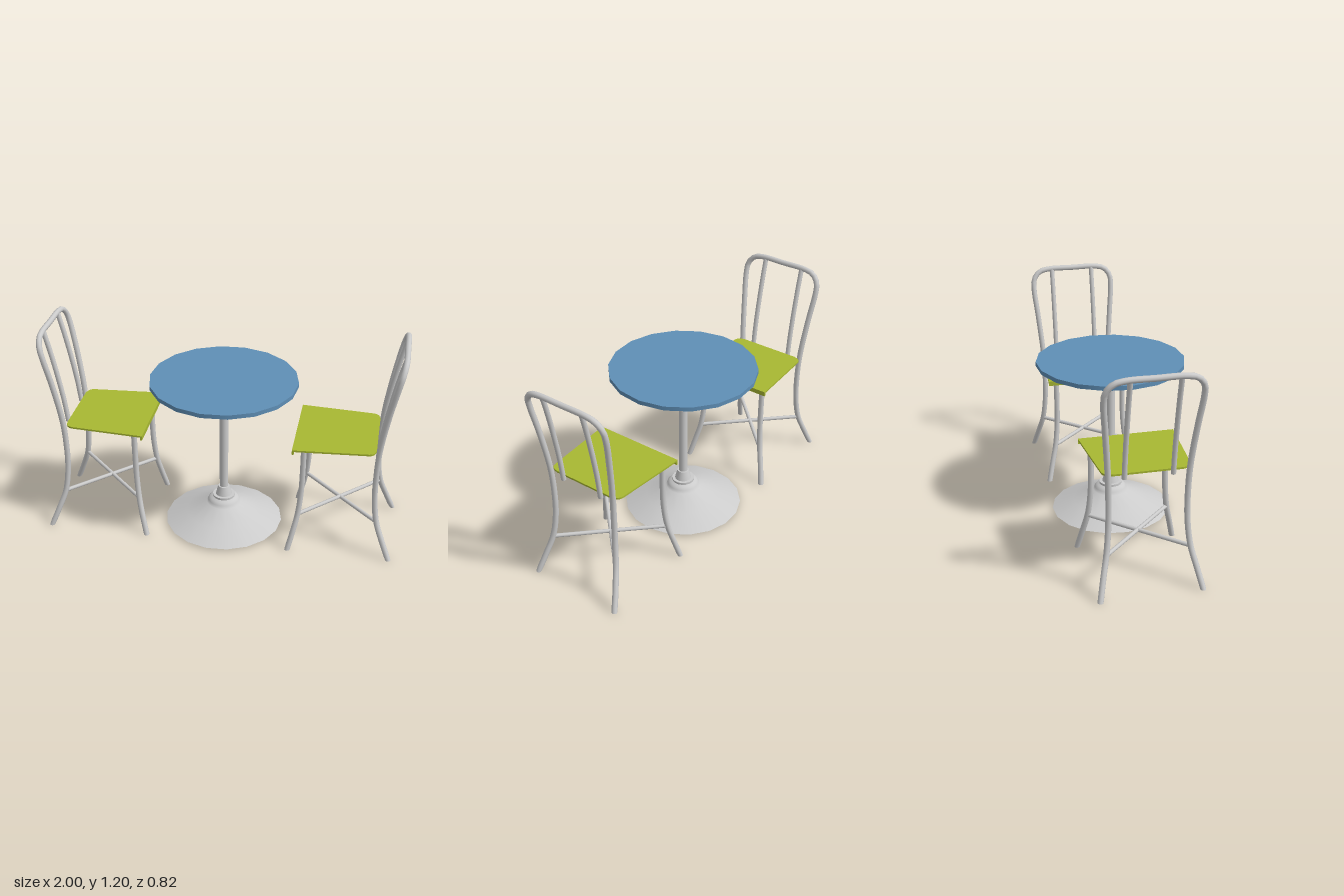
import * as THREE from 'three';

const grey = new THREE.MeshStandardMaterial({ color: 0xcccccc });
const greyOpen = new THREE.MeshStandardMaterial({ color: 0xcccccc, side: THREE.DoubleSide });
const green = new THREE.MeshStandardMaterial({ color: 0xa8b832 });
const blue = new THREE.MeshStandardMaterial({ color: 0x5f8fb6 });

const TUBE = 0.016;
const v = (x, y, z) => new THREE.Vector3(x, y, z);

function add(parent, name, geometry, material) {
  const mesh = new THREE.Mesh(geometry, material);
  mesh.name = name;
  parent.add(mesh);
  return mesh;
}

// Bent pipe through the points, with a disc closing each end.
// Ends that stand on the floor are cut level at y = 0.
function pipe(parent, name, points, radius, segments) {
  const curve = new THREE.CatmullRomCurve3(points);
  const sides = 10;
  const geo = new THREE.TubeGeometry(curve, segments, radius, sides, false);
  const pos = geo.attributes.position;
  const group = new THREE.Group();
  group.name = name;
  parent.add(group);
  [0, 1].forEach((t) => {
    const end = curve.getPoint(t);
    const out = curve.getTangent(t).multiplyScalar(t ? 1 : -1);
    if (end.y < 0.001) {
      const first = t * segments * (sides + 1);
      for (let i = first; i <= first + sides; i++) pos.setY(i, 0);
      out.set(0, -1, 0);
    }
    const cap = add(group, name + 'End', new THREE.CircleGeometry(radius, sides), grey);
    cap.position.copy(end);
    cap.quaternion.setFromUnitVectors(v(0, 0, 1), out);
  });
  add(group, name + 'Pipe', geo, grey);
}

// One chair, seen with its back towards +x
function createChair(name) {
  const chair = new THREE.Group();
  chair.name = name;

  // Rear legs and back hoop as one pipe: [x, y, half width]
  const side = [
    [0.98, 0, 0.27], [0.935, 0.11, 0.245], [0.896, 0.22, 0.22], [0.878, 0.36, 0.206],
    [0.876, 0.5, 0.204], [0.885, 0.67, 0.21], [0.92, 0.9, 0.23], [0.955, 1.07, 0.246],
    [0.968, 1.125, 0.241], [0.979, 1.168, 0.207], [0.983, 1.183, 0.15],
  ];
  const hoop = [
    ...side.map(([x, y, z]) => v(x, y, z)),
    v(0.983, 1.184, 0),
    ...side.slice().reverse().map(([x, y, z]) => v(x, y, -z)),
  ];
  pipe(chair, 'backHoop', hoop, TUBE, 90);

  for (const s of [-1, 1]) {
    // Two upright spindles following the curve of the back
    pipe(chair, 'backSpindle', [
      v(0.88, 0.63, s * 0.125), v(0.896, 0.76, s * 0.125), v(0.92, 0.9, s * 0.125),
      v(0.955, 1.07, s * 0.125), v(0.982, 1.18, s * 0.125),
    ], 0.014, 20);
    pipe(chair, 'frontLeg', [
      v(0.41, 0, s * 0.27), v(0.436, 0.11, s * 0.245), v(0.458, 0.22, s * 0.22),
      v(0.471, 0.36, s * 0.206), v(0.475, 0.5, s * 0.204), v(0.476, 0.645, s * 0.206),
    ], TUBE, 24);
    // Crossed stretchers between opposite legs
    pipe(chair, 'stretcher', [v(0.458, 0.217, s * 0.22), v(0.896, 0.217, -s * 0.22)], 0.011, 1);
  }

  // Tapered seat with rounded rear corners
  const outline = new THREE.Shape();
  outline.moveTo(0.416, -0.26);
  outline.lineTo(0.83, -0.23);
  outline.quadraticCurveTo(0.862, -0.226, 0.868, -0.18);
  outline.lineTo(0.868, 0.18);
  outline.quadraticCurveTo(0.862, 0.226, 0.83, 0.23);
  outline.lineTo(0.416, 0.26);
  outline.closePath();
  const seat = new THREE.ExtrudeGeometry(outline, { depth: 0.01, bevelEnabled: false, curveSegments: 4 });
  seat.rotateX(Math.PI / 2);
  add(chair, 'seat', seat, green).position.y = 0.652;

  // Turned-down front edge
  add(chair, 'seatLip', new THREE.BoxGeometry(0.01, 0.027, 0.52), green).position.set(0.421, 0.6385, 0);
  return chair;
}

function createTable() {
  const table = new THREE.Group();
  table.name = 'table';
  const sides = 18;
  const turn = THREE.MathUtils.degToRad(13);

  add(table, 'tableTop', new THREE.CylinderGeometry(0.415, 0.415, 0.024, sides, 1, false, turn), blue)
    .position.y = 0.911;
  add(table, 'tablePole', new THREE.CylinderGeometry(0.025, 0.025, 0.71, 16), grey).position.y = 0.545;

  // Collar at the foot of the pole
  add(table, 'poleCollar', new THREE.CylinderGeometry(0.033, 0.048, 0.055, sides), grey).position.y = 0.1975;
  add(table, 'collarRing', new THREE.CylinderGeometry(0.065, 0.065, 0.013, sides), grey).position.y = 0.165;

  // Hollow flared base
  const profile = [[0.34, 0.01], [0.22, 0.064], [0.1, 0.12], [0.092, 0.138], [0.08, 0.152], [0.062, 0.16]];
  const base = new THREE.LatheGeometry(
    profile.map(([r, y]) => new THREE.Vector2(r, y)), sides, turn);
  add(table, 'tableBase', base, greyOpen);
  return table;
}

export function createModel() {
  const model = new THREE.Group();
  model.name = 'cafeTableSet';
  model.add(createTable());

  const leftChair = createChair('leftChair');
  leftChair.position.z = -0.016;
  const rightChair = createChair('rightChair');
  rightChair.position.z = -0.016;
  rightChair.rotation.y = Math.PI;
  model.add(leftChair, rightChair);
  return model;
}
